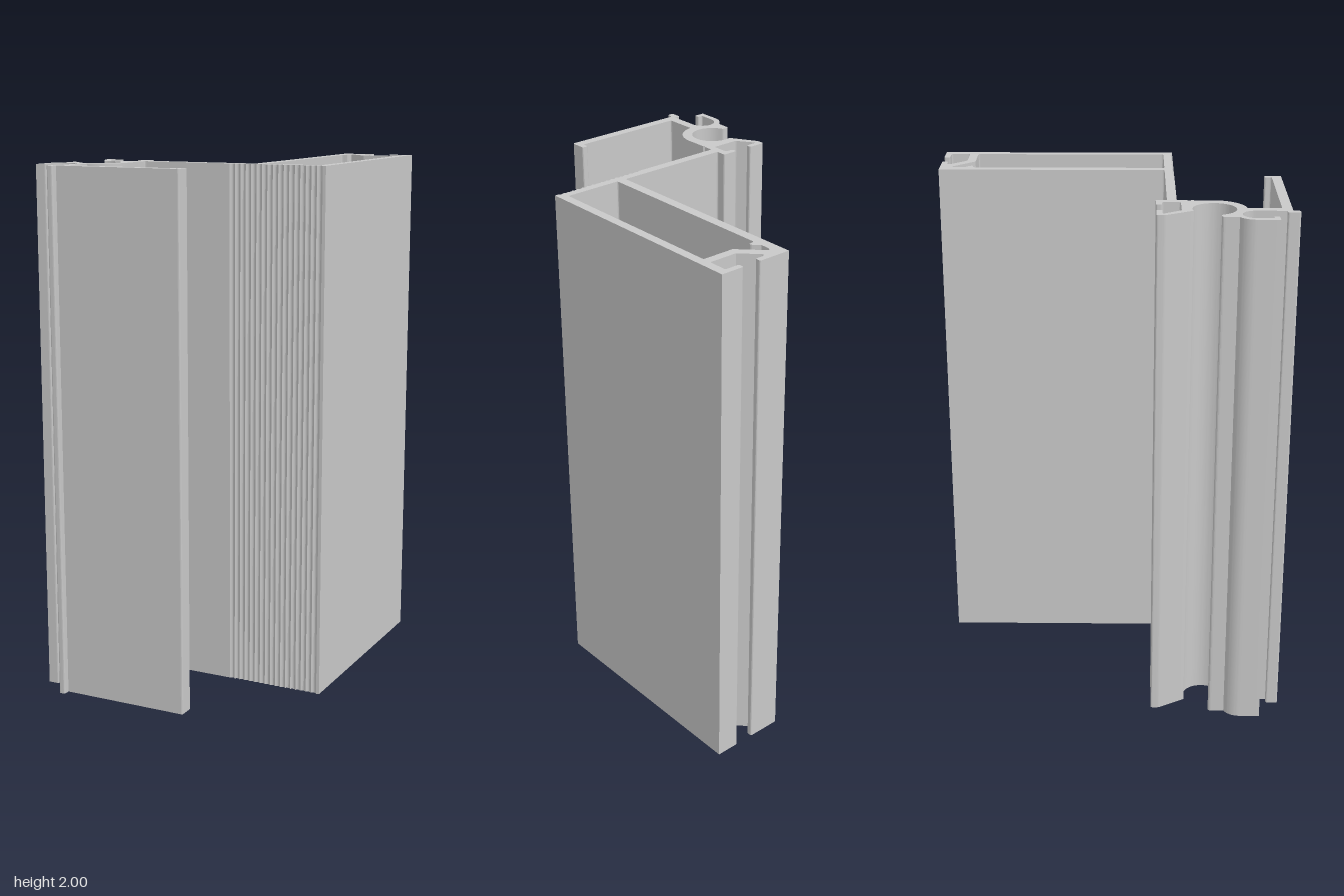
import * as THREE from 'three';
import { toCreasedNormals } from 'three/addons/utils/BufferGeometryUtils.js';

const HEIGHT = 2;
const R = 0.007; // small corner rounding

// Points along an arc in the x/z plane, angles in degrees
function arc(cx, cz, r, from, to) {
  const pts = [];
  const n = Math.ceil(Math.abs(to - from) / 5);
  for (let i = 0; i <= n; i++) {
    const a = THREE.MathUtils.degToRad(from + ((to - from) * i) / n);
    pts.push([cx + r * Math.cos(a), cz + r * Math.sin(a)]);
  }
  return pts;
}

// Turns [x, z, radius?] corners into 2D points, rounding corners that have a radius
function outline(corners) {
  const out = [];
  corners.forEach(([x, z, r], i) => {
    const p = new THREE.Vector2(x, -z);
    if (!r) { out.push(p); return; }
    const toward = (c) => {
      const d = new THREE.Vector2(c[0], -c[1]).sub(p);
      return p.clone().addScaledVector(d.clone().normalize(), Math.min(r, d.length() * 0.45));
    };
    const a = toward(corners[(i + corners.length - 1) % corners.length]);
    const b = toward(corners[(i + 1) % corners.length]);
    out.push(...new THREE.QuadraticBezierCurve(a, p, b).getPoints(4));
  });
  return out;
}

// Row of fine scalloped grooves on the front of the web, running right to left
function grooves() {
  const pts = [];
  const count = 17, start = 0.485, pitch = 0.0217, steps = 6;
  for (let k = 0; k <= count * steps; k++) {
    const depth = 0.006 * Math.abs(Math.sin((Math.PI * k) / steps));
    pts.push([start - (pitch * k) / steps, 0.237 - depth]);
  }
  return pts;
}

export function createModel() {
  const group = new THREE.Group();
  group.name = 'extrudedFrameProfile';
  const aluminium = new THREE.MeshStandardMaterial({ color: 0xc8c8c8 });
  aluminium.name = 'aluminium grey';

  const corners = [
    // slot at the back of the box section
    [0.205, -0.665], [0.333, -0.665, R], [0.333, -0.642, R], [0.297, -0.642, R], [0.288, -0.633, R],
    [0.352, -0.568], [0.463, -0.568, R], [0.463, -0.642, R], [0.405, -0.642, R], [0.405, -0.665, R],
    // box outer wall and grooved front face
    [0.497, -0.665], [0.497, 0.237],
    ...grooves(),
    [-0.241, 0.237, R], [-0.241, 0.274], [-0.247, 0.281], [-0.241, 0.288],
    // outside of the round channel
    ...arc(-0.357, 0.367, 0.116, 0, 83),
    // front flange with its upturned lip and foot
    [-0.343, 0.603, R], [0.096, 0.603, R], [0.096, 0.576, R], [0.12, 0.576, R],
    [0.12, 0.639, R], [-0.377, 0.639], [-0.377, 0.665, R], [-0.402, 0.665, R],
    [-0.402, 0.619, R], [-0.379, 0.619],
    // side hook
    ...arc(-0.427, 0.508, 0.048, 0, -180),
    [-0.475, 0.565, R], [-0.455, 0.565, R], [-0.455, 0.586, R], [-0.497, 0.586],
    ...arc(-0.428, 0.508, 0.069, 180, 240),
    [-0.461, 0.387, 0.012], [-0.435, 0.387, 0.012],
    // inside of the round channel
    ...arc(-0.357, 0.367, 0.078, 155, -108.7),
    // small slot behind the round channel
    [-0.442, 0.192, R], [-0.442, 0.162, R], [-0.374, 0.162, R], [-0.374, 0.184, R],
    [-0.419, 0.184, R], [-0.419, 0.19], [-0.377, 0.251, R], [-0.269, 0.251, R],
    [-0.269, 0.184, R], [-0.302, 0.184, R], [-0.302, 0.162, R], [-0.241, 0.162, R],
    // back of the web
    [-0.241, 0.202, R], [0.205, 0.202, R],
  ];

  // hollow chamber of the box section, with a small hook on its wall
  const chamber = [
    [0.242, -0.61, R], [0.252, -0.62, R], [0.337, -0.535], [0.463, -0.535, R],
    [0.463, 0.202, R], [0.242, 0.202, R], [0.242, -0.535, R], [0.267, -0.538, R],
    [0.267, -0.548, R], [0.242, -0.572],
  ];

  // the outline runs clockwise, so the chamber runs the other way
  const shape = new THREE.Shape(outline(corners));
  shape.holes.push(new THREE.Path(outline(chamber).reverse()));
  const extruded = new THREE.ExtrudeGeometry(shape, { depth: HEIGHT, bevelEnabled: false });
  extruded.rotateX(-Math.PI / 2);

  const profile = new THREE.Mesh(toCreasedNormals(extruded, 0.11), aluminium);
  profile.name = 'profile';
  group.add(profile);
  return group;
}
